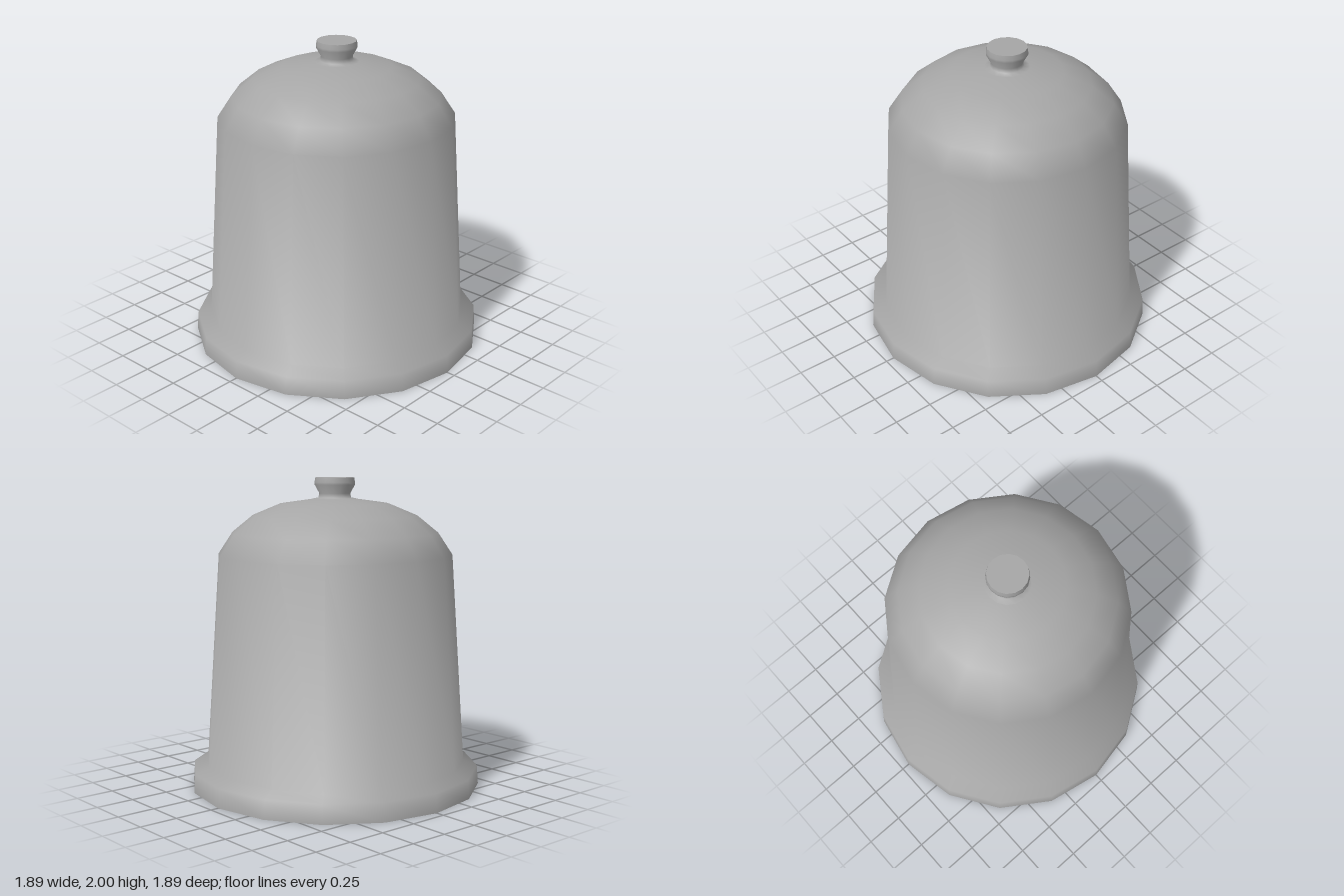
import * as THREE from 'three';
import { toCreasedNormals } from 'three/addons/utils/BufferGeometryUtils.js';

const SIDES = 16;

// Turned part: profile is a list of [radius, height]
function turned(name, profile, material) {
  const points = profile.map(([r, y]) => new THREE.Vector2(r, y));
  const geometry = toCreasedNormals(new THREE.LatheGeometry(points, SIDES), 1.3);
  const mesh = new THREE.Mesh(geometry, material);
  mesh.name = name;
  return mesh;
}

export function createModel() {
  const group = new THREE.Group();
  group.name = 'bellCover';
  const material = new THREE.MeshStandardMaterial({ color: 0xa6a6a6 });

  // Hollow bell: down the inside, across the flat rim, up the outside
  const inside = [
    [0, 1.81], [0.33, 1.77], [0.49, 1.70], [0.61, 1.60], [0.69, 1.48], [0.77, 0],
  ];
  const rim = [[0.947, 0], [0.938, 0.12], [0.848, 0.158]];
  const outside = [
    [0.757, 1.51], [0.665, 1.65], [0.53, 1.76], [0.35, 1.835], [0.1, 1.87], [0, 1.875],
  ];
  group.add(turned('bell', [...inside, ...rim, ...outside], material));

  // Knob with a flared foot, a narrow neck and a flat, sharp-edged top
  group.add(turned('knob', [
    [0.14, 1.866], [0.105, 1.873], [0.1, 1.9], [0.13, 1.955], [0.13, 1.97], [0.125, 2], [0, 2],
  ], material));

  return group;
}
